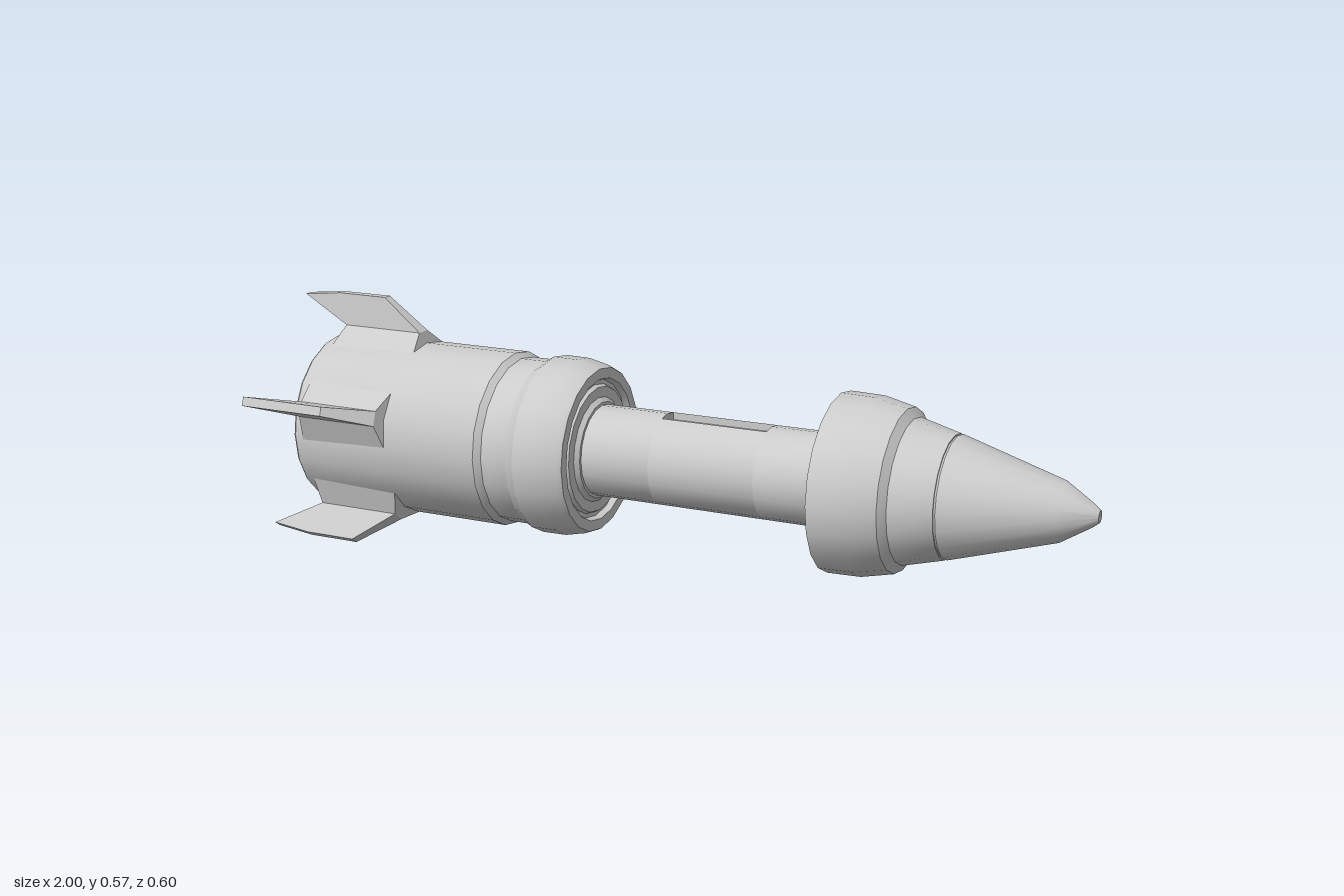
import * as THREE from 'three';
import { toCreasedNormals } from 'three/addons/utils/BufferGeometryUtils.js';

const AXIS_Y = 0.263, SIDES = 20, FINS = 5;
const material = new THREE.MeshStandardMaterial({ color: 0xcccccc });

function part(name, geometry, crease = 0.42) {
  const mesh = new THREE.Mesh(toCreasedNormals(geometry, crease), material);
  mesh.name = name;
  return mesh;
}

// Revolve [x, radius] pairs around the long axis
function revolve(name, profile) {
  const points = profile.map(([x, r]) => new THREE.Vector2(r, x));
  return part(name, new THREE.LatheGeometry(points, SIDES).rotateZ(-Math.PI / 2));
}

// Prism along x with a round section, optionally notched on top
function rod(name, x0, x1, radius, notchHalf = 0, notchDepth = 0) {
  const points = [];
  const edge = Math.asin(notchHalf / radius);
  if (notchHalf) points.push([notchHalf, radius - notchDepth], [notchHalf, radius * Math.cos(edge)]);
  for (let i = 0; i < SIDES; i++) {
    const a = (i / SIDES) * Math.PI * 2;
    if (notchHalf && (a <= edge || a >= Math.PI * 2 - edge)) continue;
    points.push([Math.sin(a) * radius, Math.cos(a) * radius]);
  }
  if (notchHalf) points.push([-notchHalf, radius * Math.cos(edge)], [-notchHalf, radius - notchDepth]);
  const shape = new THREE.Shape(points.map(([x, y]) => new THREE.Vector2(x, y)));
  const geometry = new THREE.ExtrudeGeometry(shape, { depth: x1 - x0, bevelEnabled: false });
  return part(name, geometry.rotateY(Math.PI / 2).translate(x0, 0, 0));
}

// Fin from stacked sections: rear, middle and front [x, radius] points and a half thickness
function finGeometry() {
  const sections = [
    { pts: [[-0.89, 0.19], [-0.78, 0.19], [-0.655, 0.19]], half: 0.077 },
    { pts: [[-0.88, 0.237], [-0.78, 0.237], [-0.67, 0.237]], half: 0.018 },
    { pts: [[-1.0, 0.303], [-0.9, 0.314], [-0.77, 0.314]], half: 0.011 },
  ];
  const position = [], index = [];
  for (const { pts, half } of sections) {
    for (const [x, r] of pts) position.push(x, r, half);
    for (const [x, r] of [...pts].reverse()) position.push(x, r, -half);
  }
  for (let level = 0; level < sections.length - 1; level++) {
    for (let i = 0; i < 6; i++) {
      const a = level * 6 + i, b = level * 6 + ((i + 1) % 6);
      index.push(a, b, b + 6, a, b + 6, a + 6);
    }
  }
  const tip = (sections.length - 1) * 6;
  for (const i of [0, 1, 4, 0, 4, 5, 1, 2, 3, 1, 3, 4]) index.push(tip + i);
  const geometry = new THREE.BufferGeometry();
  geometry.setAttribute('position', new THREE.Float32BufferAttribute(position, 3));
  geometry.setIndex(index);
  geometry.computeVertexNormals();
  return geometry;
}

export function createModel() {
  const model = new THREE.Group();
  model.name = 'rocket';
  const rocket = new THREE.Group();
  rocket.name = 'rocketBody';
  rocket.position.y = AXIS_Y;
  model.add(rocket);

  // Tail barrel: stepped nozzle at the rear, grooved skin, recessed front face
  rocket.add(revolve('tailBarrel', [
    [-0.74, 0], [-0.74, 0.14], [-0.83, 0.145], [-0.83, 0.175], [-0.91, 0.18],
    [-0.917, 0.187], [-0.917, 0.202], [-0.91, 0.208],
    [-0.66, 0.21], [-0.415, 0.21], [-0.4, 0.198], [-0.335, 0.198], [-0.31, 0.212],
    [-0.25, 0.211], [-0.2, 0.2], [-0.19, 0.195], [-0.19, 0.17], [-0.205, 0.165],
    [-0.205, 0.155], [-0.195, 0.15], [-0.195, 0.125], [-0.185, 0.115], [-0.185, 0],
  ]));

  // Connecting rod with a shallow slot on top
  rocket.add(rod('rodRear', -0.19, -0.015, 0.108));
  rocket.add(rod('rodSlot', -0.015, 0.245, 0.108, 0.031, 0.022));
  rocket.add(rod('rodFront', 0.245, 0.42, 0.108));

  // Nose collar and cone
  rocket.add(revolve('noseCollar', [
    [0.41, 0], [0.41, 0.205], [0.49, 0.203], [0.565, 0.186], [0.58, 0.165],
    [0.675, 0.14], [0.675, 0],
  ]));
  rocket.add(revolve('noseCone', [
    [0.67, 0], [0.67, 0.134], [0.68, 0.139], [0.92, 0.067], [0.985, 0.026], [1, 0.014], [1, 0],
  ]));

  // Tail fins spaced evenly around the barrel
  for (let i = 0; i < FINS; i++) {
    const fin = part('tailFin' + (i + 1), finGeometry(), 0.6);
    fin.rotation.x = (i / FINS) * Math.PI * 2;
    rocket.add(fin);
  }
  return model;
}
